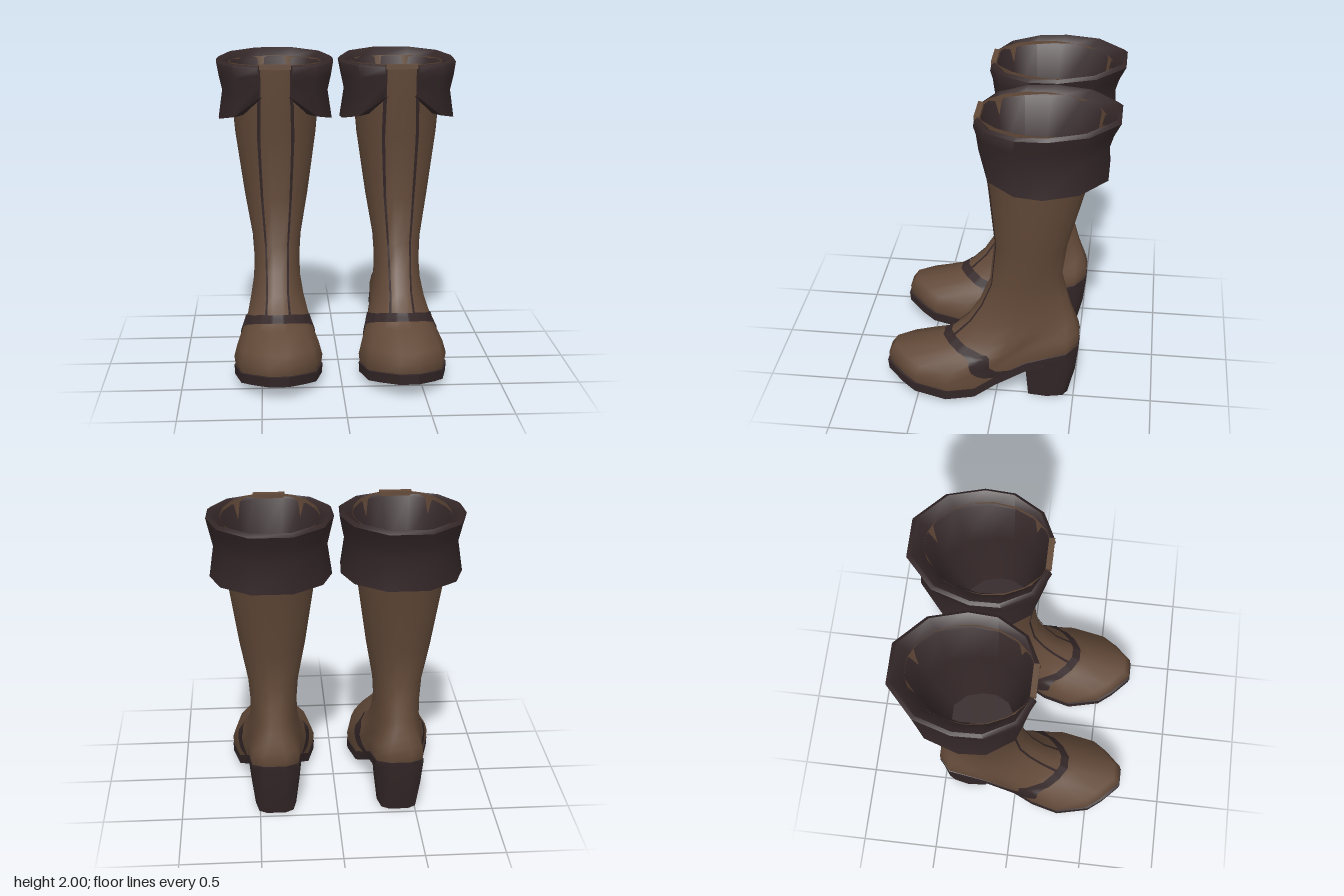
import * as THREE from 'three';
import { toCreasedNormals } from 'three/addons/utils/BufferGeometryUtils.js';

const brown = new THREE.MeshStandardMaterial({ color: 0x634a39, side: THREE.DoubleSide });
brown.name = 'brown leather';
const dark = new THREE.MeshStandardMaterial({ color: 0x342728, side: THREE.DoubleSide });
dark.name = 'dark leather';

const lerp = THREE.MathUtils.lerp;
const V = (x, y, z) => new THREE.Vector3(x, y, z);

// A half outline runs back to front on the +x side; this closes it on the -x side.
const mirrorRing = (half) => [...half, ...half.slice().reverse().map((p) => V(-p.x, p.y, p.z))];

// Piecewise linear height along z.
function heightAt(table, z) {
  if (z <= table[0][0]) return table[0][1];
  for (let i = 1; i < table.length; i++) {
    const [z0, y0] = table[i - 1], [z1, y1] = table[i];
    if (z <= z1) return lerp(y0, y1, (z - z0) / (z1 - z0));
  }
  return table[table.length - 1][1];
}

// Skin over rings. openFront skips the front segment; cap closes 'first' or 'last'.
function loft(rings, crease, { openFront = false, cap = '' } = {}) {
  const n = rings[0].length, index = [];
  for (let i = 0; i < rings.length - 1; i++) {
    for (let j = 0; j < n; j++) {
      if (openFront && j === n / 2 - 1) continue;
      const a = i * n + j, b = i * n + (j + 1) % n;
      index.push(a, a + n, b, b, a + n, b + n);
    }
  }
  if (cap) {
    const o = cap === 'first' ? 0 : (rings.length - 1) * n;
    for (let j = 0; j < n / 2 - 1; j++) {
      const p = o + j, q = p + 1, r = o + n - 2 - j, s = r + 1;
      if (cap === 'first') index.push(p, q, r, p, r, s);
      else index.push(p, r, q, p, s, r);
    }
  }
  const g = new THREE.BufferGeometry().setFromPoints(rings.flat());
  g.setIndex(index);
  return toCreasedNormals(g, crease);
}

// Sole outline as [z, half width], and the curved height of its upper edge.
const SOLE = [[-0.52, 0.07], [-0.45, 0.15], [-0.2, 0.17], [0, 0.19], [0.13, 0.235],
  [0.31, 0.28], [0.52, 0.235], [0.61, 0.17], [0.72, 0.06]];
const SOLE_TOP = [[-0.52, 0.375], [-0.2, 0.28], [-0.05, 0.2], [0.1, 0.1], [0.2, 0.085],
  [0.5, 0.105], [0.72, 0.15]];

// Ring of the upper: blend 0 follows the sole outline and dip, 1 is a plain ellipse.
function upperRing([zB, yB, zF, yF, w, blend]) {
  return mirrorRing(SOLE.map(([sz, sx], j) => {
    const a = (j + 0.5) / SOLE.length * Math.PI;
    const t = lerp((sz + 0.52) / 1.24, (1 - Math.cos(a)) / 2, blend);
    const dip = heightAt(SOLE_TOP, -0.52 + t * 1.24) - lerp(0.375, 0.15, t);
    return V(lerp(sx / 0.28, Math.sin(a), blend) * w,
      lerp(yB, yF, t) + (1 - blend) * dip, lerp(zB, zF, t));
  }));
}

const UPPER = [
  [-0.515, 0.375, 0.70, 0.145, 0.272, 0],
  [-0.522, 0.42, 0.71, 0.21, 0.28, 0],
  [-0.515, 0.47, 0.67, 0.27, 0.262, 0.1],
  [-0.50, 0.53, 0.40, 0.33, 0.215, 0.4],
  [-0.485, 0.58, 0.30, 0.40, 0.18, 0.7],
  [-0.465, 0.64, 0.20, 0.50, 0.155, 0.9],
  [-0.44, 0.73, 0.12, 0.63, 0.148, 1],
  [-0.405, 0.86, 0.05, 0.80, 0.158, 1],
  [-0.435, 1.10, 0.02, 1.10, 0.205, 1],
  [-0.54, 1.50, 0.06, 1.50, 0.262, 1],
  [-0.60, 1.75, 0.10, 1.75, 0.284, 1],
  [-0.64, 1.95, 0.12, 1.97, 0.30, 1],
].map(upperRing);

// Point on the upper: u counts rings upward, v counts columns from the back.
function surface(u, v) {
  const i = Math.min(Math.max(Math.floor(u), 0), UPPER.length - 2);
  const j = Math.floor(v), f = v - j;
  const at = (r) => UPPER[r][j].clone().lerp(UPPER[r][(j + 1) % 18], f);
  return at(i).lerp(at(i + 1), u - i);
}

// Thin strip lying on the upper between two edges given as [u, v] points.
function strip(edgeA, edgeB, steps = 6, across = 4) {
  const pts = [], index = [], e = 0.05;
  const count = (edgeA.length - 1) * steps;
  for (let k = 0; k <= count; k++) {
    const s = Math.min(Math.floor(k / steps), edgeA.length - 2), f = k / steps - s;
    const on = (edge, c) => lerp(edge[s][c], edge[s + 1][c], f);
    for (let m = 0; m <= across; m++) {
      const u = lerp(on(edgeA, 0), on(edgeB, 0), m / across);
      const v = lerp(on(edgeA, 1), on(edgeB, 1), m / across);
      const du = surface(u + e, v).sub(surface(u - e, v));
      const dv = surface(u, v + e).sub(surface(u, v - e));
      pts.push(surface(u, v).addScaledVector(du.cross(dv).normalize(), 0.007));
      if (k < count && m < across) {
        const a = k * (across + 1) + m, b = a + across + 1;
        index.push(a, a + 1, b, b, a + 1, b + 1);
      }
    }
  }
  const g = new THREE.BufferGeometry().setFromPoints(pts);
  g.setIndex(index);
  g.computeVertexNormals();
  return g;
}

const mirrorPath = (path) => path.map(([u, v]) => [u, 17 - v]);
const acrossFront = (half) => [...half, ...mirrorPath(half).reverse().slice(1)];

// Cuff outline as [depth fraction, width fraction], with the hem height per column.
const CUFF = [[0, 0.33], [0.205, 0.82], [0.475, 1], [0.69, 0.98], [0.905, 0.71], [1, 0.285]];
const HEM = [1.61, 1.6, 1.59, 1.6, 1.635, 1.76];
const cuffRing = (zB, zF, w, y) =>
  mirrorRing(CUFF.map(([t, x], j) => V(x * w, y(t, j), lerp(zB, zF, t))));
const drop = (f) => (t, j) => lerp(lerp(1.98, 1.95, t), HEM[j], f);

function soleRing(inset, offset) {
  return mirrorRing(SOLE.map(([z, x]) =>
    V(x * (1 - inset), heightAt(SOLE_TOP, z) + offset, 0.1 + (z - 0.1) * (1 - inset))));
}

function createBoot(name) {
  const boot = new THREE.Group();
  boot.name = name;
  const add = (part, geometry, material) => {
    const m = new THREE.Mesh(geometry, material);
    m.name = part;
    boot.add(m);
    return m;
  };

  add('upper', loft(UPPER, 1.3), brown);

  // Sole and block heel
  add('sole', loft([soleRing(0.01, -0.063), soleRing(0, 0), soleRing(0.12, 0)], 0.6, { cap: 'first' }), dark);
  const heel = [
    { y: () => 0, pts: [[-0.46, 0.06], [-0.43, 0.11], [-0.33, 0.132], [-0.21, 0.12]] },
    { y: () => 0.19, pts: [[-0.505, 0.065], [-0.455, 0.135], [-0.34, 0.155], [-0.195, 0.14]] },
    { y: (z) => heightAt(SOLE_TOP, z) - 0.02, pts: [[-0.523, 0.072], [-0.45, 0.152], [-0.35, 0.166], [-0.185, 0.16]] },
  ].map(({ y, pts }) => mirrorRing(pts.map(([z, x]) => V(x, y(z), z))));
  add('heel', loft(heel, 0.8, { cap: 'first' }), dark);

  // Strap over the instep, down to the sole on both sides
  const lower = [[0, 2.95], [1, 3.6], [2, 4.25], [2.75, 5.1], [3.15, 6], [3.35, 7], [3.5, 8], [3.52, 8.5]];
  const upper = [[0, 2.45], [1, 3], [2, 3.5], [3.2, 4.7], [3.65, 6], [3.9, 7], [4.05, 8], [4.05, 8.5]];
  add('instepStrap', strip(acrossFront(lower), acrossFront(upper)), dark);

  // Two seams up the front of the shaft
  const seam = [[3.9, 7.4], [5, 7.3], [6, 7.2], [7, 7.2], [8, 7.2], [9, 7.3], [10, 7.45], [10.95, 7.5]];
  const edge = (d) => seam.map(([u, v]) => [u, v + d]);
  add('seamLeft', strip(edge(-0.12), edge(0.12), 6, 2), dark);
  add('seamRight', strip(mirrorPath(edge(0.12)), mirrorPath(edge(-0.12)), 6, 2), dark);

  // Folded cuff, open at the front, and the lining inside
  const lip = cuffRing(-0.70, 0.10, 0.36, (t) => lerp(2, 1.965, t));
  add('cuff', loft([
    cuffRing(-0.60, 0.085, 0.285, drop(0.96)),
    cuffRing(-0.665, 0.10, 0.37, drop(1)),
    cuffRing(-0.655, 0.115, 0.342, drop(0.5)),
    cuffRing(-0.685, 0.13, 0.365, drop(0.22)),
    cuffRing(-0.725, 0.122, 0.38, drop(0)),
    lip,
  ], 1, { openFront: true }), dark);
  add('lining', loft([
    lip,
    cuffRing(-0.625, 0.09, 0.285, () => 1.94),
    cuffRing(-0.54, 0.04, 0.235, () => 1.6),
    cuffRing(-0.40, -0.03, 0.15, () => 1.2),
  ], 1, { cap: 'last' }), dark);

  // Top edge of the front panel
  const top = add('panelTop', new THREE.BoxGeometry(0.2, 0.03, 0.035), brown);
  top.position.set(0, 1.957, 0.108);
  return boot;
}

export function createModel() {
  const model = new THREE.Group();
  model.name = 'pairOfBoots';
  for (const [name, side] of [['leftBoot', 1], ['rightBoot', -1]]) {
    const boot = createBoot(name);
    boot.position.x = side * 0.396;
    model.add(boot);
  }
  return model;
}
